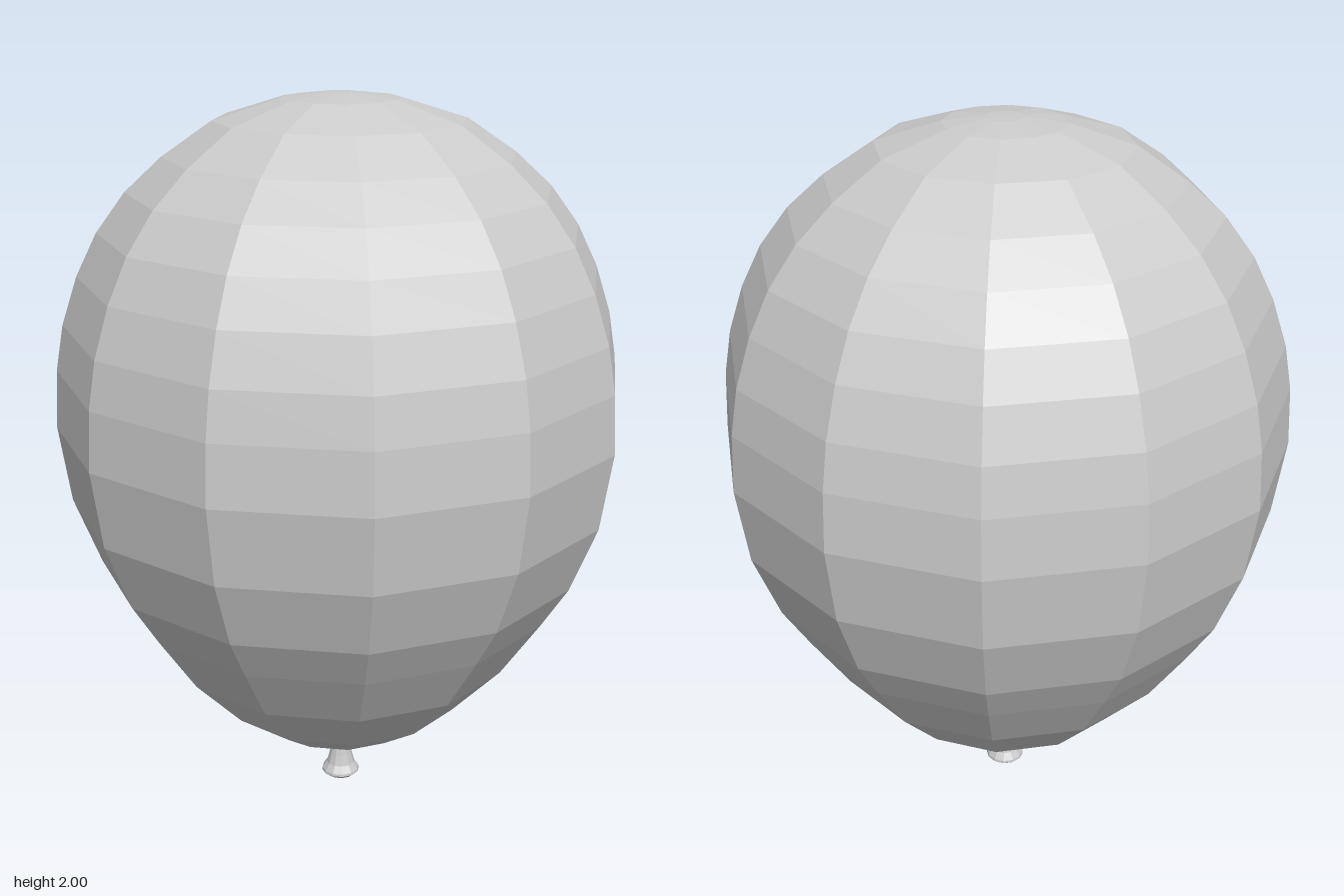
import * as THREE from 'three';

const SIDES = 12;

// Faceted body of revolution; profile is [radius, height] from bottom to top
function lathe(name, profile) {
  const points = profile.map(([r, y]) => new THREE.Vector2(r, y));
  const material = new THREE.MeshStandardMaterial({ color: 0xcccccc, flatShading: true });
  const mesh = new THREE.Mesh(new THREE.LatheGeometry(points, SIDES), material);
  mesh.name = name;
  return mesh;
}

export function createModel() {
  const group = new THREE.Group();
  group.name = 'balloon';

  // Inflated envelope, widest just above the middle
  group.add(lathe('envelope', [
    [0, 0.125], [0.03, 0.126], [0.1, 0.145], [0.21, 0.2], [0.345, 0.29],
    [0.485, 0.437], [0.595, 0.6], [0.67, 0.72], [0.742, 0.905], [0.773, 1.115],
    [0.765, 1.275], [0.743, 1.4], [0.7, 1.53], [0.643, 1.645], [0.565, 1.75],
    [0.467, 1.84], [0.335, 1.93], [0.16, 1.985], [0.05, 1.999], [0, 2],
  ]));

  // Tied neck flaring out to a rolled lip
  group.add(lathe('neck', [
    [0, 0], [0.022, 0.003], [0.042, 0.012], [0.055, 0.023], [0.054, 0.03],
    [0.041, 0.05], [0.033, 0.08], [0.023, 0.13],
  ]));

  return group;
}
